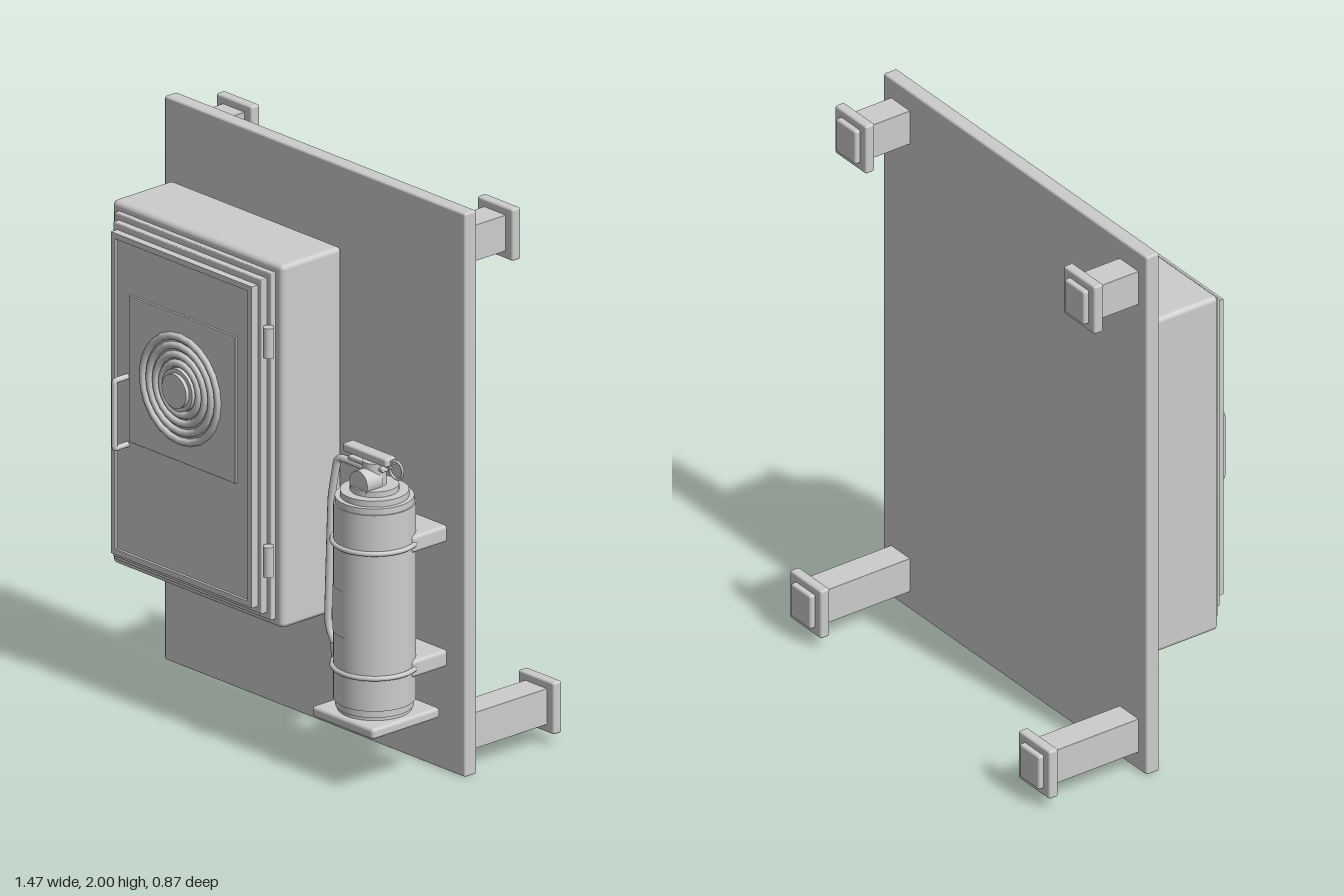
import * as THREE from 'three';
import { RoundedBoxGeometry } from 'three/addons/geometries/RoundedBoxGeometry.js';

const grey = new THREE.MeshStandardMaterial({ color: 0xcccccc });
grey.name = 'plain grey';

function add(parent, name, geometry, x = 0, y = 0, z = 0) {
  const mesh = new THREE.Mesh(geometry, grey);
  mesh.name = name;
  mesh.position.set(x, y, z);
  parent.add(mesh);
  return mesh;
}

// Rounded box given by its limits on each axis
function block(parent, name, [x0, x1], [y0, y1], [z0, z1], r = 0.006) {
  const w = x1 - x0, h = y1 - y0, d = z1 - z0;
  return add(parent, name, new RoundedBoxGeometry(w, h, d, 2, Math.min(r, w / 3, h / 3, d / 3)),
    (x0 + x1) / 2, (y0 + y1) / 2, (z0 + z1) / 2);
}

function group(parent, name) {
  const g = new THREE.Group();
  g.name = name;
  parent.add(g);
  return g;
}

function tube(parent, name, points, r, segments = 40) {
  const path = new THREE.CatmullRomCurve3(points.map(p => new THREE.Vector3(...p)), false, 'catmullrom', 0.15);
  return add(parent, name, new THREE.TubeGeometry(path, segments, r, 10));
}

// Rectangular frame with an open middle
function frame(parent, name, [x0, x1], [y0, y1], [z0, z1], t) {
  const rect = (S, i) => new S([[x0 + i, y0 + i], [x1 - i, y0 + i], [x1 - i, y1 - i], [x0 + i, y1 - i]]
    .map(p => new THREE.Vector2(...p)));
  const shape = rect(THREE.Shape, 0);
  shape.holes.push(rect(THREE.Path, t));
  return add(parent, name, new THREE.ExtrudeGeometry(shape, { depth: z1 - z0, bevelEnabled: false }), 0, 0, z0);
}

function buildCabinet(root) {
  const g = group(root, 'cabinet');
  block(g, 'cabinetBox', [-0.695, 0.138], [0.427, 1.715], [0.035, 0.305], 0.018);
  block(g, 'doorSurround', [-0.661, 0.105], [0.455, 1.685], [0.29, 0.325], 0.003);
  block(g, 'doorStep', [-0.64, 0.085], [0.478, 1.664], [0.31, 0.35], 0.003);
  frame(g, 'doorFrame', [-0.62, 0.067], [0.502, 1.642], [0.345, 0.378], 0.02);
  block(g, 'doorPanel', [-0.605, 0.052], [0.515, 1.63], [0.34, 0.368], 0.002);
  block(g, 'dialPlate', [-0.535, -0.015], [0.92, 1.44], [0.362, 0.376], 0.002);

  // Ringed dial with a central knob
  const dial = group(g, 'dial');
  dial.position.set(-0.28, 1.18, 0.374);
  add(dial, 'dialDisc', new THREE.CylinderGeometry(0.19, 0.19, 0.008, 32)).rotation.x = Math.PI / 2;
  for (const R of [0.184, 0.152, 0.12, 0.09])
    add(dial, 'dialRing', new THREE.TorusGeometry(R, 0.013, 8, 24), 0, 0, 0.004);
  add(dial, 'knobBase', new THREE.CylinderGeometry(0.075, 0.075, 0.02, 24), 0, 0, 0.01).rotation.x = Math.PI / 2;
  add(dial, 'knob', new THREE.CylinderGeometry(0.06, 0.06, 0.034, 24), 0, 0, 0.017).rotation.x = Math.PI / 2;

  tube(g, 'doorHandle', [[-0.55, 0.905, 0.36], [-0.55, 0.905, 0.42], [-0.55, 0.912, 0.426],
    [-0.55, 1.138, 0.426], [-0.55, 1.145, 0.42], [-0.55, 1.145, 0.36]], 0.01);

  for (const y of [0.675, 1.452])
    add(g, 'hinge', new THREE.CylinderGeometry(0.019, 0.019, 0.107, 20), 0.115, y, 0.346);
}

function buildExtinguisher(root) {
  const g = group(root, 'extinguisher');
  const cx = 0.515, cz = 0.238;
  block(g, 'basePlate', [0.365, 0.665], [0.205, 0.243], [0.08, 0.383], 0.012);

  // Stepped tank, stacked from bottom to top: radius, bottom, top
  const steps = [[0.124, 0.24, 0.262], [0.13, 0.255, 0.285], [0.137, 0.28, 0.975],
    [0.132, 0.97, 0.997], [0.115, 0.99, 1.018], [0.082, 1.01, 1.038], [0.04, 1.03, 1.12]];
  for (const [r, y0, y1] of steps)
    add(g, 'tankSection', new THREE.CylinderGeometry(r, r, y1 - y0, 40), cx, (y0 + y1) / 2, cz);
  add(g, 'label', new THREE.CylinderGeometry(0.14, 0.14, 0.165, 16, 1, true, -0.64, 1.28), cx, 0.607, cz);

  // Clamps fixing the tank to the board
  for (const y of [0.398, 0.84]) {
    add(g, 'clampBand', new THREE.TorusGeometry(0.141, 0.009, 8, 40), cx, y, cz).rotation.x = Math.PI / 2;
    block(g, 'bracket', [0.382, 0.645], [y - 0.03, y + 0.03], [0.025, 0.19], 0.012);
  }

  // Valve head
  add(g, 'gauge', new THREE.CylinderGeometry(0.044, 0.044, 0.07, 24), 0.517, 1.056, 0.277).rotation.x = Math.PI / 2;
  block(g, 'upperLever', [0.38, 0.592], [1.117, 1.148], [0.21, 0.258], 0.008);
  block(g, 'lowerLever', [0.4, 0.57], [1.092, 1.108], [0.215, 0.253], 0.004);
  add(g, 'pin', new THREE.CylinderGeometry(0.005, 0.005, 0.1, 8), 0.55, 1.112, 0.234).rotation.z = Math.PI / 2;
  add(g, 'pinRing', new THREE.TorusGeometry(0.031, 0.005, 8, 24), 0.617, 1.112, 0.234);

  // Hose and nozzle
  tube(g, 'hose', [[0.5, 1.083, 0.238], [0.36, 1.083, 0.24], [0.338, 1.07, 0.242], [0.318, 0.93, 0.25],
    [0.318, 0.52, 0.265], [0.325, 0.475, 0.265], [0.355, 0.42, 0.265]], 0.013, 60);
  add(g, 'nozzle', new THREE.CylinderGeometry(0.019, 0.025, 0.1, 16), 0.366, 0.388, 0.265).rotation.z = 0.25;
}

// Wall stand-offs: longer at the bottom than at the top
function buildStandoffs(root) {
  for (const side of [-1, 1])
    for (const [y, z] of [[1.862, -0.19], [0.133, -0.375]]) {
      const g = group(root, 'standoff');
      g.position.set(side * 0.637, y, 0);
      block(g, 'post', [-0.053, 0.053], [-0.064, 0.064], [z - 0.01, 0], 0.002);
      block(g, 'pad', [-0.087, 0.087], [-0.092, 0.092], [z - 0.038, z], 0.008);
      block(g, 'padCap', [-0.055, 0.055], [-0.064, 0.064], [z - 0.058, z - 0.02], 0.008);
    }
}

export function createModel() {
  const root = new THREE.Group();
  root.name = 'wallPanel';
  block(root, 'backBoard', [-0.735, 0.733], [0, 2], [-0.022, 0.032], 0.008);
  buildCabinet(root);
  buildExtinguisher(root);
  buildStandoffs(root);
  return root;
}
